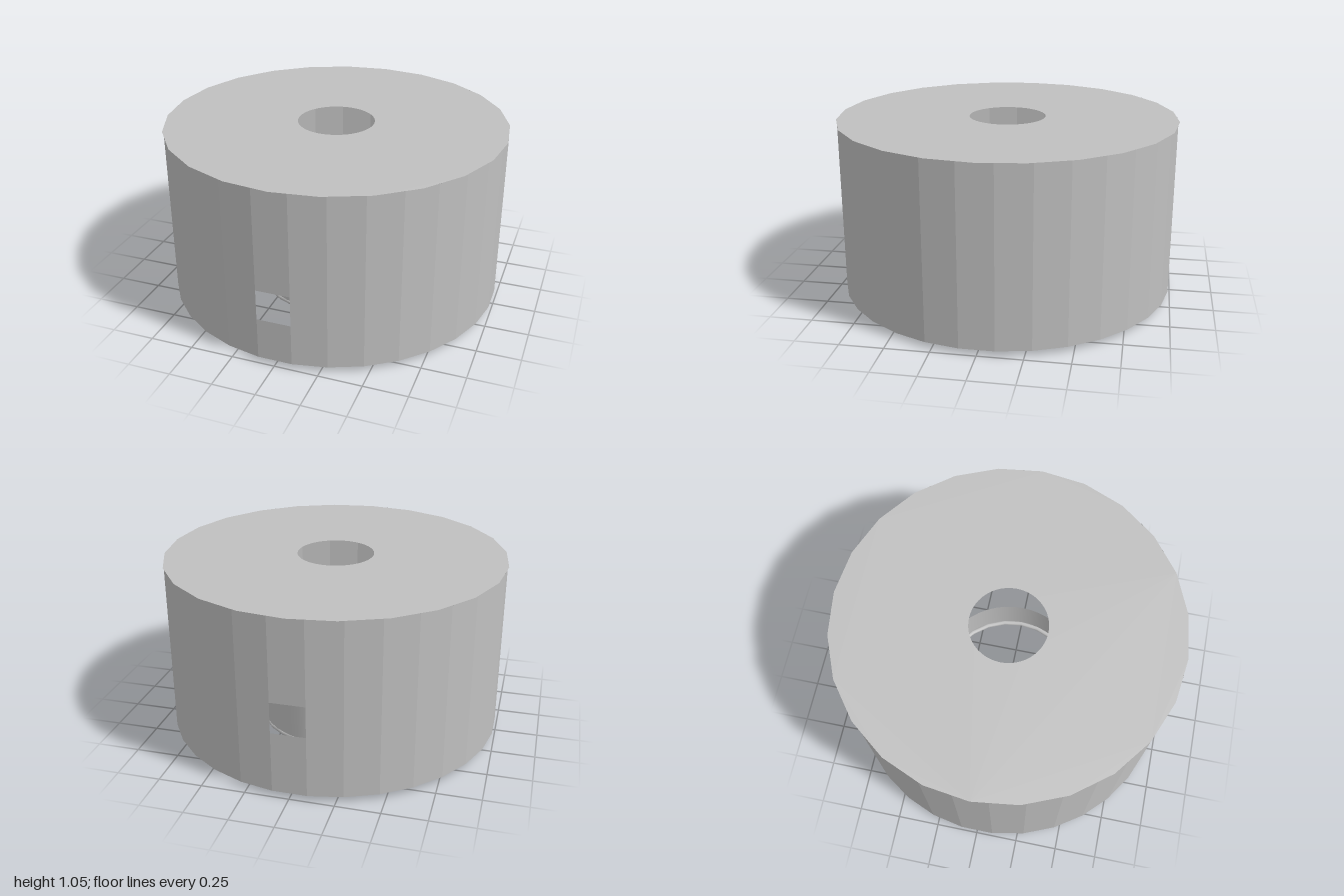
import * as THREE from 'three';

const WALL_R = 0.993, BOTTOM = 0.03, TOP = 1.05;
const STEP = (Math.PI * 2) / 32; // one wall facet

export function createModel() {
  const model = new THREE.Group();
  const grey = new THREE.MeshStandardMaterial({ color: 0xc0c0c0, side: THREE.DoubleSide });
  grey.name = 'grey';

  function add(name, geometry, parent = model) {
    const mesh = new THREE.Mesh(geometry, grey);
    mesh.name = name;
    parent.add(mesh);
    return mesh;
  }

  // faceted strip of the outer wall, theta 0 being the front
  function wallStrip(name, y0, y1, facets, start, parent) {
    const strip = new THREE.CylinderGeometry(WALL_R, WALL_R, y1 - y0, facets, 1, true, start, facets * STEP);
    const flat = strip.toNonIndexed();
    flat.computeVertexNormals();
    flat.translate(0, (y0 + y1) / 2, 0);
    return add(name, flat, parent);
  }

  // outer wall: two curved sides joined by a windowed facet at front and back
  const wall = new THREE.Group();
  wall.name = 'outerWall';
  model.add(wall);
  const windows = [['front', 0, 0.275], ['back', Math.PI, 0.387]];
  for (const [side, angle, sill] of windows) {
    wallStrip(side + 'PanelBelowWindow', BOTTOM, sill, 1, angle - STEP / 2, wall);
    wallStrip(side + 'PanelAboveWindow', sill + 0.18, TOP, 1, angle - STEP / 2, wall);
  }
  wallStrip('leftWall', BOTTOM, TOP, 15, STEP / 2, wall);
  wallStrip('rightWall', BOTTOM, TOP, 15, Math.PI + STEP / 2, wall);

  // lid: 24-sided disc with a round hole
  const lid = new THREE.Shape();
  for (let i = 0; i < 24; i++) {
    const a = (i / 24) * Math.PI * 2;
    if (i) lid.lineTo(Math.cos(a), Math.sin(a));
    else lid.moveTo(1, 0);
  }
  lid.closePath();
  lid.holes.push(new THREE.Path().absarc(0, 0, 0.224, 0, Math.PI * 2, true));
  add('lid', new THREE.ShapeGeometry(lid, 24).rotateX(-Math.PI / 2).translate(0, TOP, 0));

  // short inner collar with a rounded lower rim
  add('innerCollar', new THREE.CylinderGeometry(0.447, 0.447, 0.255, 48, 1, true).translate(0, 0.1425, 0));
  add('collarRim', new THREE.TorusGeometry(0.44, 0.015, 8, 24).rotateX(Math.PI / 2).translate(0, 0.015, 0));

  return model;
}
